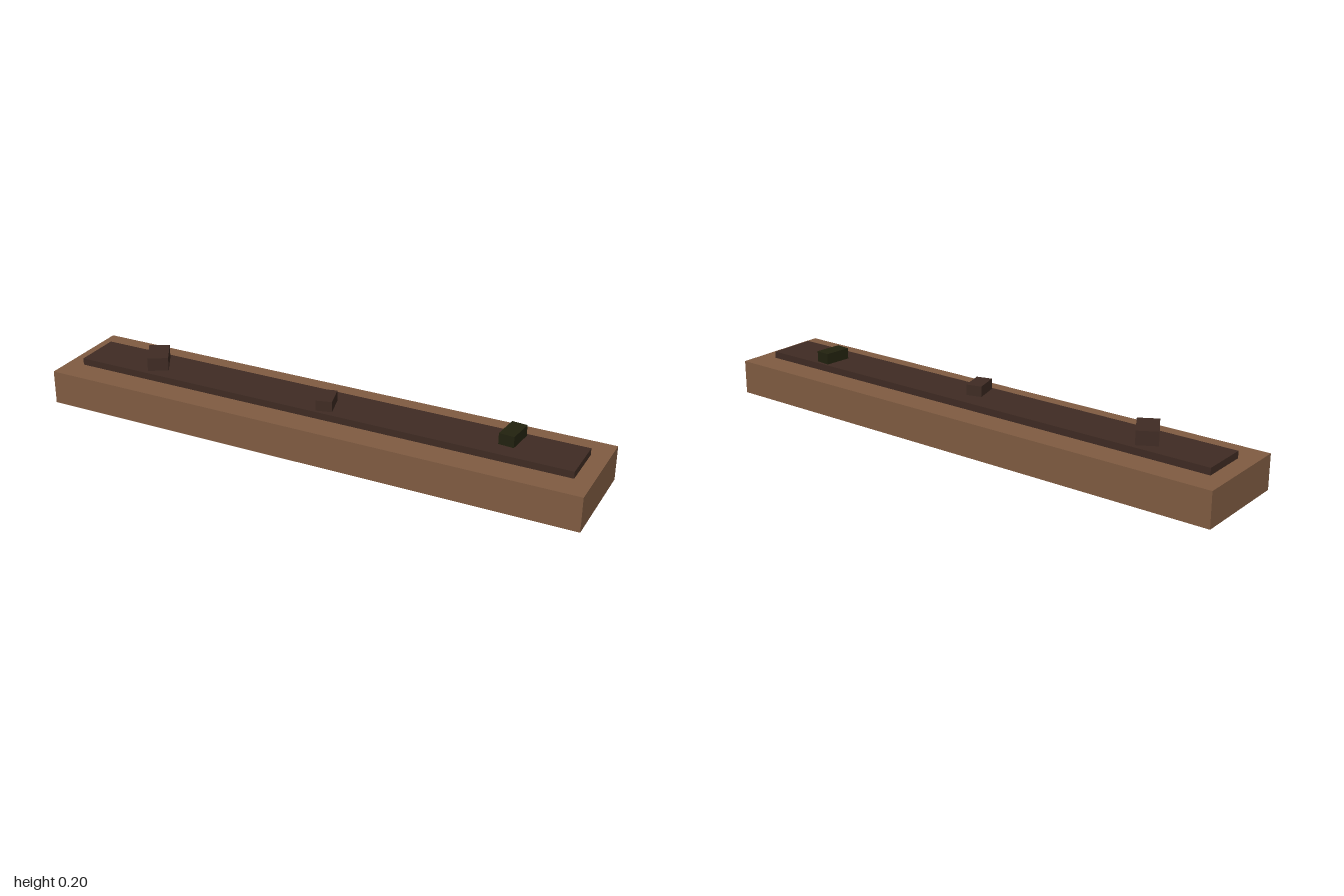
import * as THREE from 'three';

const mat = (name, color, side = THREE.FrontSide) => {
  const m = new THREE.MeshStandardMaterial({ color, side });
  m.name = name;
  return m;
};

// Box standing on y = 0 of its own frame, without its bottom face
function openBox(w, h, d) {
  const g = new THREE.BoxGeometry(w, h, d);
  const index = Array.from(g.index.array);
  index.splice(18, 6);
  g.setIndex(index);
  g.clearGroups();
  return g.translate(0, h / 2, 0);
}

export function createModel() {
  const model = new THREE.Group();
  model.name = 'planterBed';

  const wood = mat('wood brown', 0x805c42, THREE.DoubleSide);
  const soil = mat('soil brown', 0x3f2b23);
  const moss = mat('dark moss', 0x22220f);

  const add = (name, geometry, material, x, y, z, turn = 0) => {
    const mesh = new THREE.Mesh(geometry, material);
    mesh.name = name;
    mesh.position.set(x, y, z);
    mesh.rotation.y = THREE.MathUtils.degToRad(turn);
    model.add(mesh);
  };

  // Thin-walled trough, hollow and open underneath
  add('trough', openBox(2, 0.125, 0.375), wood, 0, 0, 0);

  // Raised soil strip
  add('soilBed', openBox(1.876, 0.025, 0.175), soil, 0, 0.125, 0);

  // Loose clods, each turned a little
  const clods = [
    ['leftClod', 0.075, 0.049, 0.119, soil, -0.662, 0, 30],
    ['middleClod', 0.057, 0.038, 0.093, soil, 0.038, 0.026, 15],
    ['mossyClod', 0.055, 0.04, 0.101, moss, 0.692, -0.026, -5],
  ];
  for (const [name, w, h, d, material, x, z, turn] of clods) {
    add(name.replace('left', 'large'), new THREE.BoxGeometry(w, h, d).translate(0, h / 2, 0), material, x, 0.15, z, turn);
  }

  return model;
}
